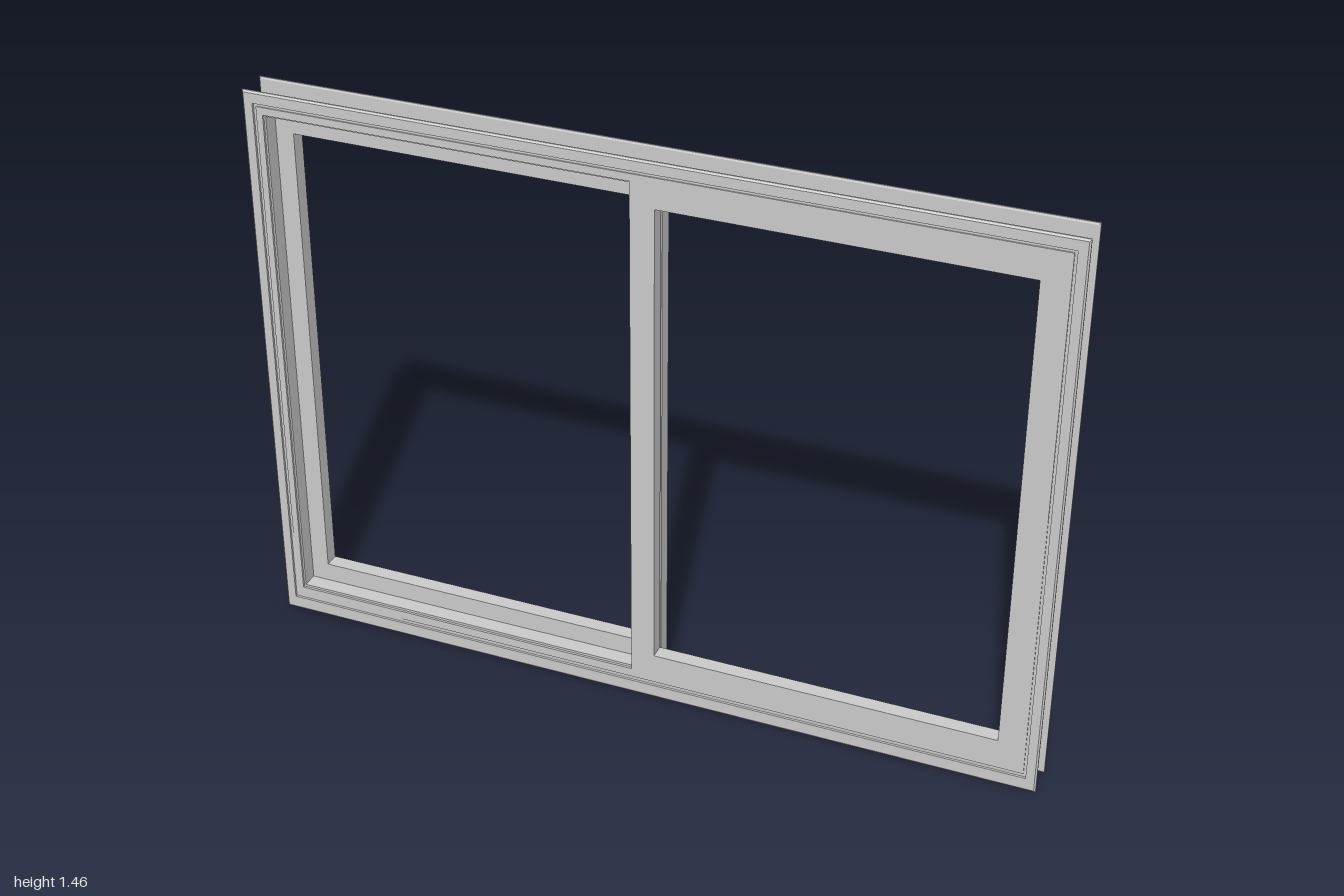
import * as THREE from 'three';

const W = 1, H = 1.455;               // half width, full height
const TOP = 1.15, BOTTOM = 1.4;       // the frame is deeper at head and sill

const material = new THREE.MeshStandardMaterial({ color: 0xcccccc, flatShading: true });

// Sweep a closed [inset, z] profile around the window with mitred corners.
function mitredFrame(name, profile) {
  const corner = ([d, z], k) => {
    const right = k === 1 || k === 2, top = k >= 2;
    return [right ? W - d : d - W, top ? H - d * TOP : d * BOTTOM, z];
  };
  const pos = [];
  for (let k = 0; k < 4; k++) {
    const n = (k + 1) % 4;
    profile.forEach((p, i) => {
      const q = profile[(i + 1) % profile.length];
      const a = corner(p, k), b = corner(p, n), c = corner(q, n), d = corner(q, k);
      pos.push(...a, ...b, ...c, ...a, ...c, ...d);
    });
  }
  const geo = new THREE.BufferGeometry();
  geo.setAttribute('position', new THREE.Float32BufferAttribute(pos, 3));
  geo.computeVertexNormals();
  const mesh = new THREE.Mesh(geo, material);
  mesh.name = name;
  return mesh;
}

function rect(path, x0, y0, x1, y1) {
  path.moveTo(x0, y0);
  path.lineTo(x1, y0);
  path.lineTo(x1, y1);
  path.lineTo(x0, y1);
  path.closePath();
  return path;
}

// Flat rectangular ring around the open pane, inset d from the window's edge.
function sashRing(name, d, z0, z1) {
  const shape = rect(new THREE.Shape(), -0.03, d * BOTTOM, W - d, H - d * TOP);
  shape.holes.push(rect(new THREE.Path(), 0.03, 0.125, 0.9, 1.34));
  const geo = new THREE.ExtrudeGeometry(shape, { depth: z1 - z0, bevelEnabled: false });
  geo.translate(0, 0, z0);
  const mesh = new THREE.Mesh(geo, material);
  mesh.name = name;
  return mesh;
}

export function createModel() {
  const model = new THREE.Group();
  model.name = 'slidingWindow';

  // Channel between the flanges, with two grooves around the outside
  model.add(mitredFrame('frameChannel', [
    [0.054, 0.037], [0.054, -0.037], [0.048, -0.037],
    [0.048, -0.025], [0.0525, -0.025], [0.0525, -0.018], [0.046, -0.018],
    [0.046, 0.018], [0.0525, 0.018], [0.0525, 0.025], [0.048, 0.025], [0.048, 0.037],
  ]));

  // Each face has a grooved flange and one sash; the back is the front turned half round
  for (const side of ['front', 'back']) {
    const face = new THREE.Group();
    face.name = side + 'Face';
    face.add(mitredFrame(side + 'Flange', [
      [0, 0.038], [0, 0.042], [0.004, 0.046], [0.026, 0.046], [0.026, 0.04],
      [0.033, 0.04], [0.033, 0.043], [0.0495, 0.043], [0.0495, 0.036], [0.004, 0.036],
    ]));
    face.add(sashRing(side + 'SashFace', 0.0495, 0.026, 0.043));
    face.add(sashRing(side + 'SashBody', 0.0535, 0.004, 0.026));
    if (side === 'back') face.rotation.y = Math.PI;
    model.add(face);
  }

  return model;
}
